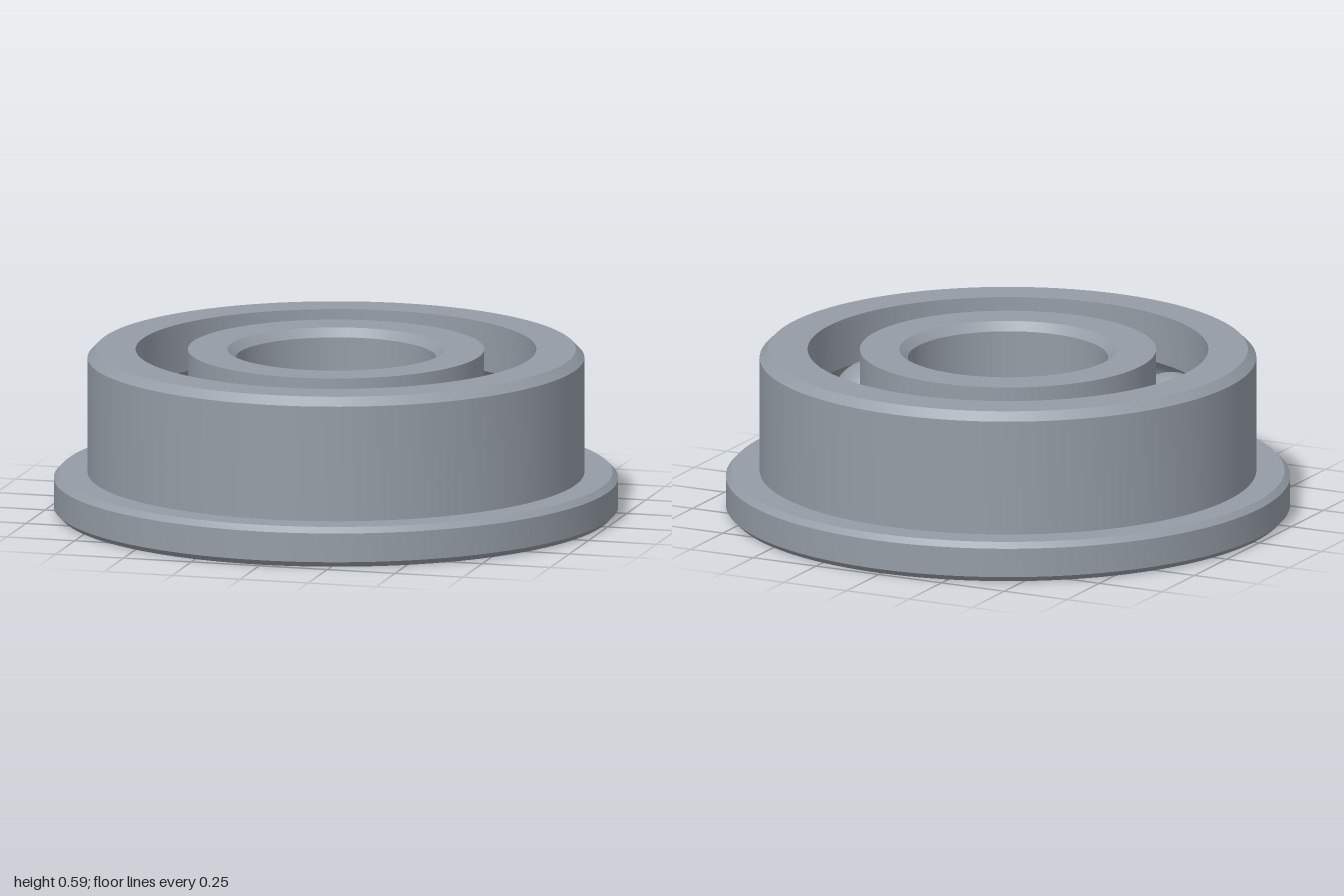
import * as THREE from 'three';
import { toCreasedNormals } from 'three/addons/utils/BufferGeometryUtils.js';

const HEIGHT = 0.588;
const MID = HEIGHT / 2;
const PITCH = 0.617; // radius of the ball circle
const BALL = 0.147;
const GROOVE = 0.15;
const BALLS = 9;

// Raceway arc from angle a to angle b, centred on the ball circle
function groove(a, b, steps = 14) {
  return Array.from({ length: steps + 1 }, (_, i) => {
    const t = a + ((b - a) * i) / steps;
    return [PITCH + GROOVE * Math.cos(t), MID + GROOVE * Math.sin(t)];
  });
}

// Closed ring turned from a counter-clockwise [radius, y] profile
function ring(name, profile, material) {
  const points = [...profile, profile[0]].map(([r, y]) => new THREE.Vector2(r, y));
  const geometry = toCreasedNormals(new THREE.LatheGeometry(points, 128), Math.PI / 6);
  const mesh = new THREE.Mesh(geometry, material);
  mesh.name = name;
  return mesh;
}

export function createModel() {
  const model = new THREE.Group();
  model.name = 'flangedBallBearing';
  const steel = new THREE.MeshStandardMaterial({ color: 0x949ca5 });
  steel.name = 'steel';

  // Outer ring with flange, chamfers and inner raceway
  const outerR = 0.71;
  const outerA = Math.acos((outerR - PITCH) / GROOVE);
  model.add(ring('outerRing', [
    [outerR, 0], [0.98, 0], [1, 0.02], [1, 0.124], [0.98, 0.144],
    [0.88, 0.144], [0.88, 0.558], [0.85, HEIGHT], [outerR, HEIGHT],
    ...groove(outerA, -outerA),
  ], steel));

  // Inner ring with chamfered bore and outer raceway
  const innerR = 0.525;
  const innerA = Math.acos((PITCH - innerR) / GROOVE);
  model.add(ring('innerRing', [
    [0.385, 0], [innerR, 0],
    ...groove(Math.PI + innerA, Math.PI - innerA),
    [innerR, HEIGHT], [0.385, HEIGHT], [0.355, HEIGHT - 0.03], [0.355, 0.03],
  ], steel));

  // Balls evenly spaced in the raceway
  const balls = new THREE.Group();
  balls.name = 'balls';
  const sphere = new THREE.SphereGeometry(BALL, 40, 28);
  for (let i = 0; i < BALLS; i++) {
    const angle = THREE.MathUtils.degToRad(12) + (i * 2 * Math.PI) / BALLS;
    const ball = new THREE.Mesh(sphere, steel);
    ball.name = 'ball';
    ball.position.set(PITCH * Math.cos(angle), MID, PITCH * Math.sin(angle));
    balls.add(ball);
  }
  model.add(balls);
  return model;
}
